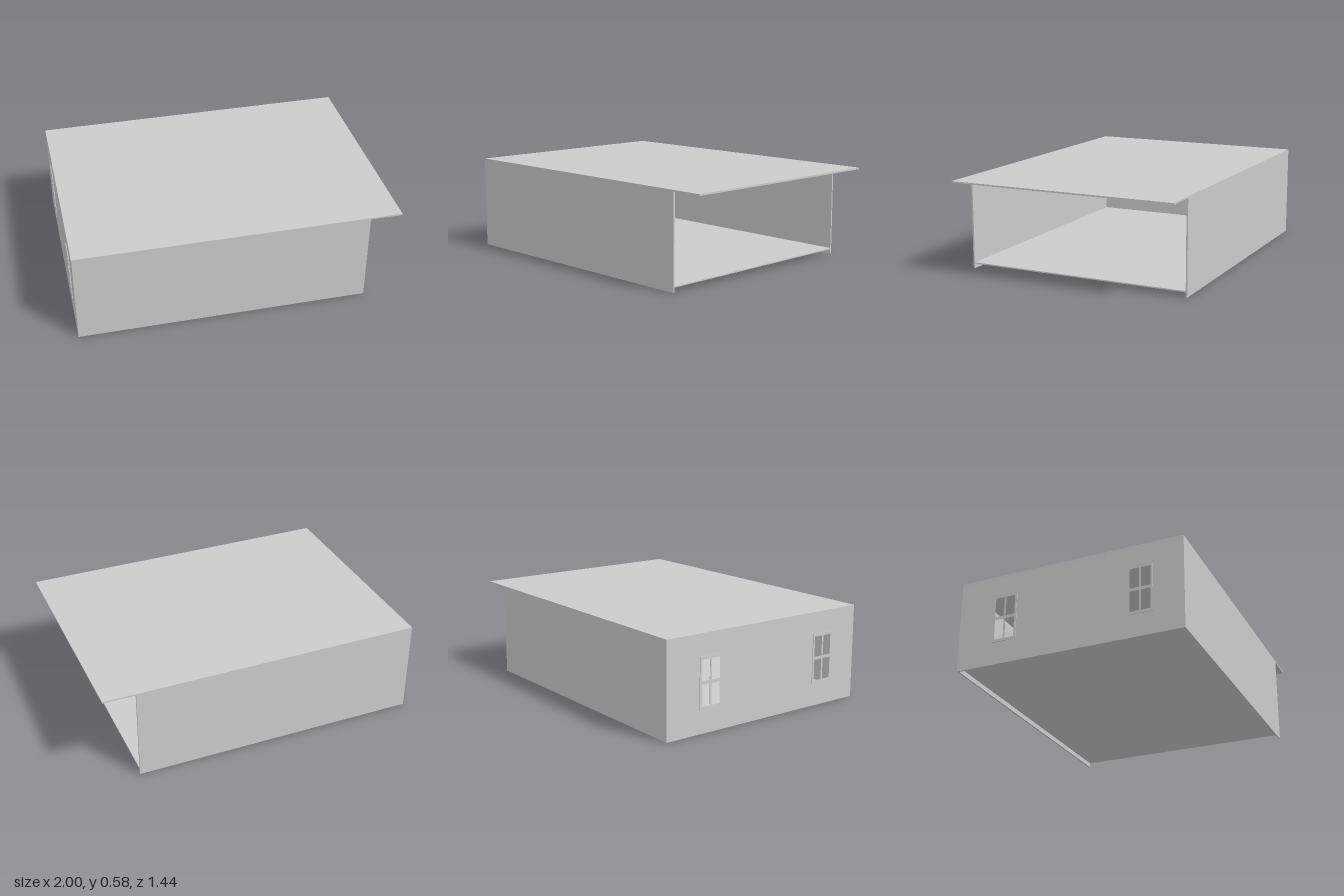
import * as THREE from 'three';

const BACK = -0.996, FRONT = 0.8, HALF = 0.72, T = 0.01, WALL_TOP = 0.575;
const material = new THREE.MeshStandardMaterial({ color: 0xcccccc, flatShading: true });

function addBox(group, name, [x0, x1], [y0, y1], [z0, z1]) {
  const mesh = new THREE.Mesh(new THREE.BoxGeometry(x1 - x0, y1 - y0, z1 - z0), material);
  mesh.position.set((x0 + x1) / 2, (y0 + y1) / 2, (z0 + z1) / 2);
  mesh.name = name;
  group.add(mesh);
}

function rectPoints(z0, z1, y0, y1) {
  return [[z0, y0], [z1, y0], [z1, y1], [z0, y1]].map(([z, y]) => new THREE.Vector2(-z, y));
}

// Upright panel in the z-y plane with rectangular holes, thickened along +x
function addPanel(group, name, outline, holes, x, depth) {
  const shape = new THREE.Shape(rectPoints(...outline));
  for (const hole of holes) shape.holes.push(new THREE.Path(rectPoints(...hole)));
  const geometry = new THREE.ExtrudeGeometry(shape, { depth, bevelEnabled: false });
  geometry.rotateY(Math.PI / 2);
  const mesh = new THREE.Mesh(geometry, material);
  mesh.position.x = x;
  mesh.name = name;
  group.add(mesh);
}

export function createModel() {
  const group = new THREE.Group();
  group.name = 'openShed';

  // Flat roof overhanging the open end, and raised floor
  addBox(group, 'roof', [-0.997, 1], [WALL_TOP, 0.585], [-HALF, HALF]);
  addBox(group, 'floor', [BACK + T, FRONT], [0.03, 0.038], [-HALF + T, HALF - T]);

  // Long side walls
  for (const s of [-1, 1]) {
    const z = [s * HALF, s * (HALF - T)].sort((a, b) => a - b);
    addBox(group, s > 0 ? 'frontWall' : 'backWall', [BACK, FRONT], [0, WALL_TOP], z);
  }

  // End wall with two window openings
  const windows = [0.455, -0.413];
  addPanel(group, 'endWall', [-HALF + T, HALF - T, 0, WALL_TOP],
    windows.map((z) => [z - 0.07, z + 0.07, 0.15, 0.44]), BACK, T);

  // Window frames, each with four panes cut out
  for (const z of windows) {
    const panes = [];
    for (const [z0, z1] of [[-0.064, -0.006], [0.006, 0.064]])
      for (const [y0, y1] of [[0.16, 0.289], [0.308, 0.433]])
        panes.push([z + z0, z + z1, y0, y1]);
    addPanel(group, 'windowFrame', [z - 0.077, z + 0.077, 0.142, 0.452], panes, -1, T + 0.008);
  }
  return group;
}
